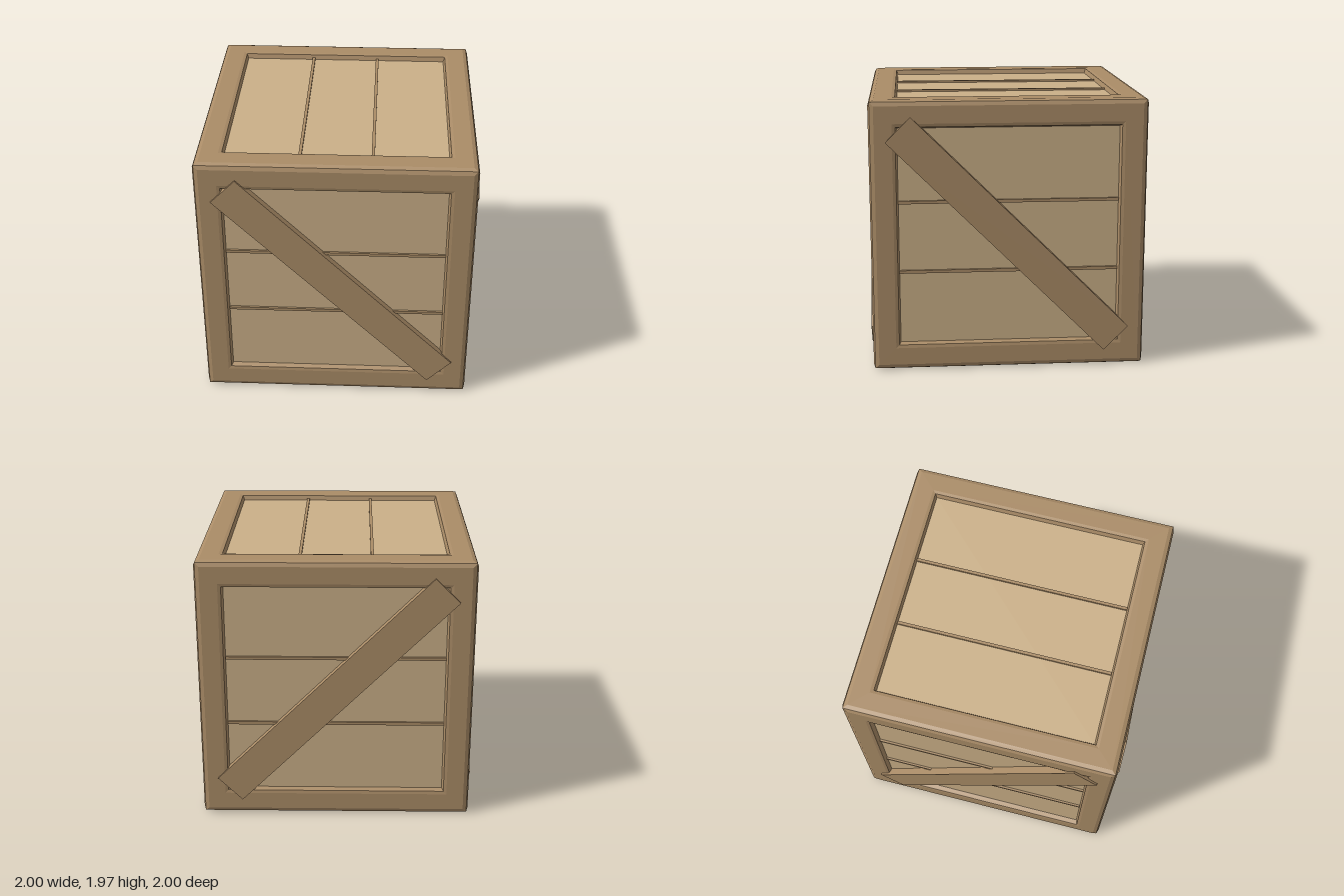
import * as THREE from 'three';

const MID = 0.985;     // half size of the crate body
const PANEL = 0.945;   // distance of the recessed panels from the centre
const INNER = 0.785;   // half width of the recessed panels

// Frame cross-section from outer edge to panel: [half width, distance from centre]
const PROFILE = [[0.973, 0.973], [0.945, MID], [0.82, MID], [0.797, 0.98], [INNER, PANEL]];

// Mitred square frame facing +z, swept through the profile
function frameGeometry() {
  const corners = [[-1, -1], [1, -1], [1, 1], [-1, 1]];
  const pos = [];
  const point = ([s, h], k) => [corners[k % 4][0] * s, corners[k % 4][1] * s, h];
  for (let i = 0; i < PROFILE.length - 1; i++) {
    for (let k = 0; k < 4; k++) {
      const a = point(PROFILE[i], k), b = point(PROFILE[i], k + 1);
      const c = point(PROFILE[i + 1], k + 1), d = point(PROFILE[i + 1], k);
      pos.push(...a, ...b, ...c, ...a, ...c, ...d);
    }
  }
  const g = new THREE.BufferGeometry();
  g.setAttribute('position', new THREE.Float32BufferAttribute(pos, 3));
  g.computeVertexNormals();
  return g;
}

export function createModel() {
  const darkWood = new THREE.MeshStandardMaterial({ color: 0xaa8c67 });
  darkWood.name = 'darkWood';
  const lightWood = new THREE.MeshStandardMaterial({ color: 0xcbb088 });
  lightWood.name = 'lightWood';

  const frameGeo = frameGeometry();
  const panelGeo = new THREE.PlaneGeometry(INNER * 2, INNER * 2);
  const slatGeo = new THREE.BoxGeometry(INNER * 2, 0.022, 0.03);
  const braceGeo = new THREE.BoxGeometry(2.206, 0.25, 0.999 - PANEL);

  const model = new THREE.Group();
  model.name = 'crate';

  const add = (parent, name, geo, mat) => {
    const mesh = new THREE.Mesh(geo, mat);
    mesh.name = name;
    parent.add(mesh);
    return mesh;
  };

  // One crate face; slats: 'across', 'upright' or none; brace: tilt sign or 0
  function addFace(name, rx, ry, slats, brace) {
    const face = new THREE.Group();
    face.name = name;
    add(face, 'frame', frameGeo, darkWood);
    add(face, 'panel', panelGeo, lightWood).position.z = PANEL;
    if (slats) {
      for (const s of [-1, 1]) {
        const slat = add(face, 'slat', slatGeo, darkWood);
        if (slats === 'upright') {
          slat.rotation.z = Math.PI / 2;
          slat.position.set(s * 0.255, 0, PANEL);
        } else {
          slat.position.set(0, s * 0.255, PANEL);
        }
      }
    }
    if (brace) {
      const board = add(face, 'diagonalBrace', braceGeo, darkWood);
      board.rotation.z = brace * Math.PI / 4;
      board.position.z = (0.999 + PANEL) / 2;
    }
    face.rotation.set(rx, ry, 0);
    face.position.y = MID;
    model.add(face);
  }

  const q = Math.PI / 2;
  addFace('frontFace', 0, 0, 'across', -1);
  addFace('leftFace', 0, q, 'across', -1);
  addFace('backFace', 0, 2 * q, 'across', 1);
  addFace('rightFace', 0, -q, 'across', 1);
  addFace('topFace', -q, 0, 'upright', 0);
  addFace('bottomFace', q, 0, null, 0);

  return model;
}
